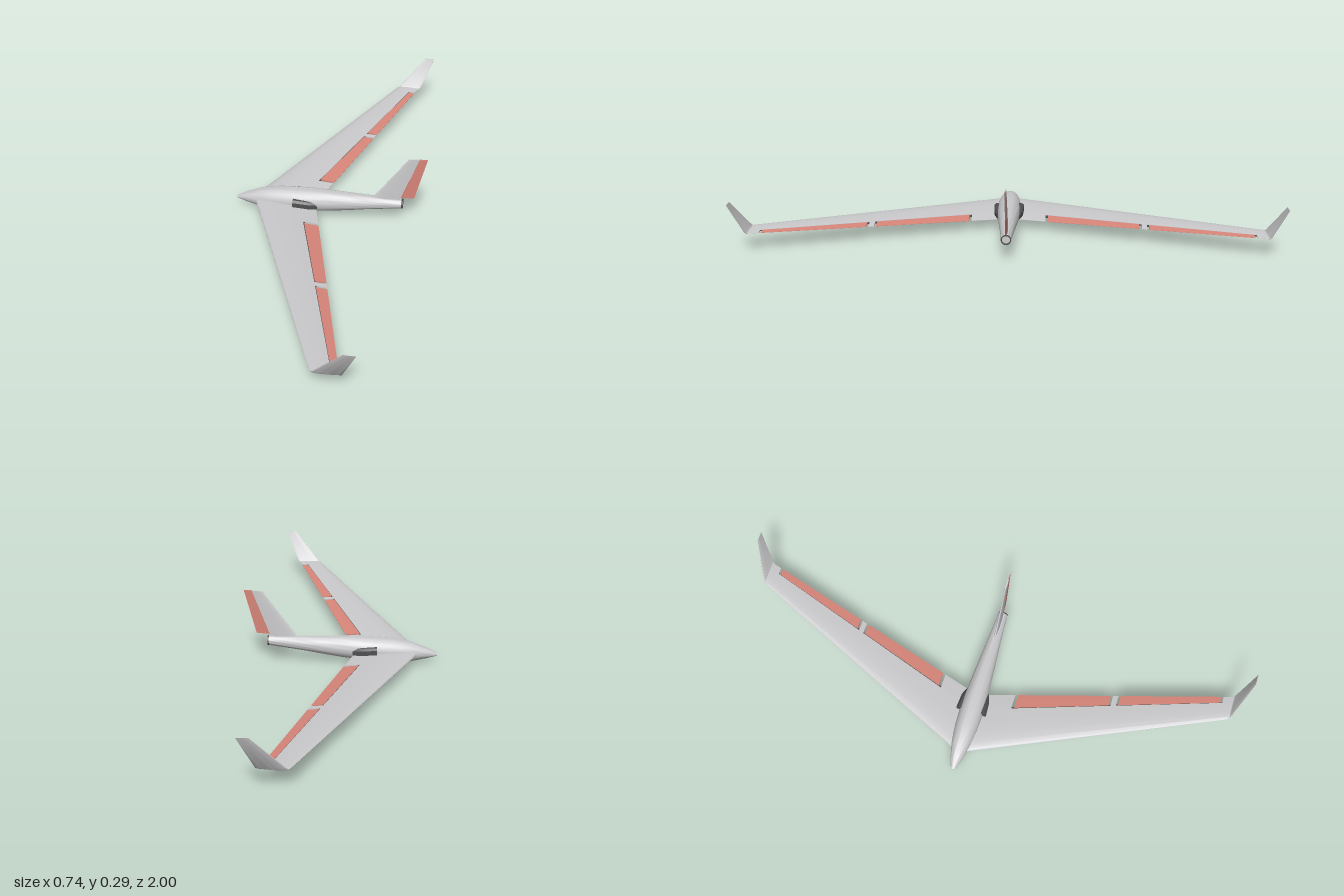
import * as THREE from 'three';
import { toCreasedNormals } from 'three/addons/utils/BufferGeometryUtils.js';

const V = (x, y, z) => new THREE.Vector3(x, y, z);

// Skin a list of equal-sized closed rings, capping both ends; faces always point outwards
function loft(rings, crease = 0.6) {
  const n = rings[0].length, pts = rings.flat(), idx = [];
  for (let r = 0; r < rings.length - 1; r++) {
    for (let i = 0; i < n; i++) {
      const a = r * n + i, b = r * n + (i + 1) % n;
      idx.push(a, b, a + n, b, b + n, a + n);
    }
  }
  [[0, rings[0]], [(rings.length - 1) * n, rings[rings.length - 1]]].forEach(([base, ring], k) => {
    const c = pts.length, mid = V(0, 0, 0);
    ring.forEach(p => mid.addScaledVector(p, 1 / n));
    pts.push(mid);
    for (let i = 0; i < n; i++) {
      const a = base + i, b = base + (i + 1) % n;
      idx.push(...(k ? [a, b, c] : [b, a, c]));
    }
  });
  let volume = 0;
  for (let i = 0; i < idx.length; i += 3) {
    const [a, b, c] = [pts[idx[i]], pts[idx[i + 1]], pts[idx[i + 2]]];
    volume += a.dot(b.clone().cross(c));
  }
  if (volume < 0) idx.reverse();
  const geo = new THREE.BufferGeometry().setFromPoints(pts);
  geo.setIndex(idx);
  return toCreasedNormals(geo, crease);
}

// Airfoil section from leading point to trailing point, t = relative thickness
const section = (lead, trail, up, t) => ({ lead, trail, up, t });

// Ring around the part of an airfoil between chord fractions f0 and f1
function foilRing({ lead, trail, up, t }, f0, f1, squash = 1) {
  const chord = lead.distanceTo(trail), top = [], low = [], steps = 12;
  for (let i = 0; i <= steps; i++) {
    const u = i / steps, f = f0 + (f1 - f0) * (f0 === 0 ? u * u : u);
    const h = 5 * t * chord * squash *
      (0.2969 * Math.sqrt(f) - 0.126 * f - 0.3516 * f * f + 0.2843 * f ** 3 - 0.1015 * f ** 4);
    const p = lead.clone().lerp(trail, f);
    top.push(p.clone().addScaledVector(up, h + 0.0004));
    low.push(p.clone().addScaledVector(up, -h - 0.0004));
  }
  return [...top, ...low.reverse()];
}

const ellipse = (x, y0, y1, w, n = 32) => Array.from({ length: n }, (_, i) => {
  const a = i / n * Math.PI * 2;
  return V(x, (y0 + y1) / 2 + Math.sin(a) * (y1 - y0) / 2, Math.cos(a) * w);
});

export function createModel() {
  const mat = (name, color) => Object.assign(new THREE.MeshStandardMaterial({ color }), { name });
  const grey = mat('light grey', 0xcbcbcd);
  const red = mat('control surface red', 0xd9867a);
  const dark = mat('dark grey', 0x505052);
  const model = new THREE.Group();
  model.name = 'flyingWingAircraft';
  const add = (name, rings, material, parent = model, crease) => {
    const mesh = new THREE.Mesh(loft(rings, crease), material);
    mesh.name = name;
    parent.add(mesh);
  };

  // Fuselage: x, bottom, top, half width
  add('fuselage', [
    [-0.37, 0.028, 0.038, 0.007], [-0.33, 0.018, 0.06, 0.021], [-0.275, 0.007, 0.081, 0.035],
    [-0.24, 0.004, 0.089, 0.04], [-0.2, 0.001, 0.096, 0.044], [-0.14, 0.005, 0.1, 0.046],
    [-0.08, 0.011, 0.103, 0.044], [0, 0.021, 0.104, 0.039], [0.08, 0.034, 0.103, 0.033],
    [0.14, 0.045, 0.102, 0.028], [0.22, 0.057, 0.102, 0.022], [0.276, 0.065, 0.103, 0.019],
  ].map(s => ellipse(...s)), grey);

  // Hollow exhaust at the tail
  add('exhaust', [
    [0.27, 0.066, 0.102, 0.018], [0.281, 0.065, 0.103, 0.019],
    [0.281, 0.069, 0.099, 0.015], [0.272, 0.069, 0.099, 0.015],
  ].map(s => ellipse(...s)), dark);

  // Fin with rudder
  const side = V(0, 0, 1);
  const finRoot = section(V(0.156, 0.088, 0), V(0.323, 0.1, 0), side, 0.07);
  const finBase = section(V(0.17, 0.105, 0), V(0.323, 0.114, 0), side, 0.07);
  const finTip = section(V(0.297, 0.283, 0), V(0.367, 0.289, 0), side, 0.07);
  add('fin', [foilRing(finRoot, 0, 0.67), foilRing(finBase, 0, 0.67), foilRing(finTip, 0, 0.57)], grey);
  add('rudder', [foilRing(finBase, 0.675, 1), foilRing(finTip, 0.58, 1)], red);

  for (const s of [1, -1]) {
    const wing = new THREE.Group();
    wing.name = s > 0 ? 'leftWing' : 'rightWing';
    model.add(wing);

    // Wing section at span position z
    const at = z => {
      const k = (z - 0.035) / 0.91;
      return section(V(-0.287 + 0.409 * k, 0.042 + 0.03 * k, s * z),
        V(-0.049 + 0.266 * k, 0.041 + 0.033 * k, s * z), V(0, 1, 0), 0.09);
    };
    const panel = (name, z0, z1, f0, f1, material, squash) =>
      add(name, [foilRing(at(z0), f0, f1, squash), foilRing(at(z1), f0, f1, squash)], material, wing);

    panel('mainWing', 0.01, 0.945, 0, 0.735, grey);
    panel('hingeSpar', 0.14, 0.915, 0.72, 0.765, dark, 0.6);
    panel('innerTrailingEdge', 0.01, 0.143, 0.735, 1, grey);
    panel('middleTrailingEdge', 0.505, 0.525, 0.735, 1, grey);
    panel('outerTrailingEdge', 0.912, 0.945, 0.735, 1, grey);
    panel('innerFlap', 0.153, 0.497, 0.748, 1, red);
    panel('outerFlap', 0.533, 0.904, 0.748, 1, red);

    // Winglet curving up from the wing tip
    const up = V(0, 0.94, -0.34 * s), out = V(0, 0.33, -0.94 * s);
    add('winglet', [
      at(0.945),
      section(V(0.128, 0.073, s * 0.952), V(0.222, 0.075, s * 0.952), up, 0.08),
      section(V(0.135, 0.081, s * 0.957), V(0.228, 0.08, s * 0.957), out, 0.06),
      section(V(0.24, 0.205, s), V(0.279, 0.205, s), out, 0.05),
    ].map(q => foilRing(q, 0, 1)), grey, wing);

    // Side intake: x, top, outer z
    add('sideIntake', [[-0.138, 0.077, 0.059], [-0.08, 0.073, 0.055], [-0.045, 0.066, 0.042]].map(([x, y, z]) => [
      V(x, 0.042, s * 0.025), V(x, 0.042, s * z), V(x, y - 0.008, s * z),
      V(x, y, s * (z - 0.008)), V(x, y, s * 0.025),
    ]), dark, wing, 0.4);
  }
  return model;
}
